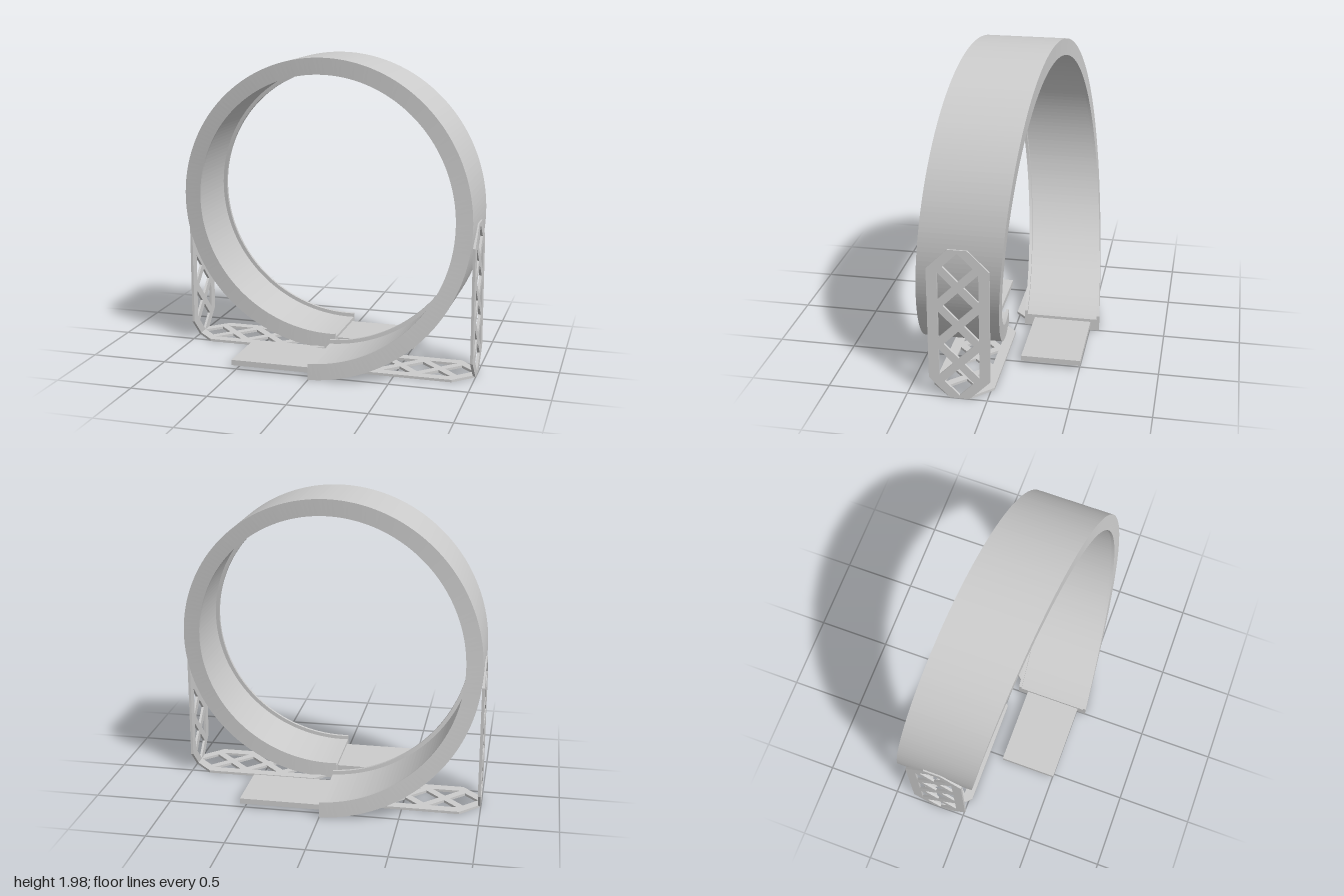
import * as THREE from 'three';

const material = new THREE.MeshStandardMaterial({ color: 0xcccccc });
const flatMaterial = new THREE.MeshStandardMaterial({ color: 0xcccccc, flatShading: true });

const CENTRE_Y = 0.99;
const START_Z = 0.31; // the track shifts from +START_Z to -START_Z over one turn

// Channel section of the track as (z, radius): a floor with two thin lips
const SECTION = [
  [-0.255, 0.885], [-0.235, 0.885], [-0.235, 0.91], [0.235, 0.91],
  [0.235, 0.885], [0.255, 0.885], [0.255, 0.99], [-0.255, 0.99],
].map(([z, r]) => new THREE.Vector2(z, r));

// One helical turn swept from the section, starting at the bottom
function trackGeometry(segments) {
  const n = SECTION.length;
  const point = (k, i) => {
    const t = k / segments;
    const a = t * Math.PI * 2;
    const p = SECTION[i % n];
    return [Math.sin(a) * p.y, CENTRE_Y - Math.cos(a) * p.y, p.x + START_Z * (1 - 2 * t)];
  };
  const positions = [];
  const triangle = (a, b, c) => positions.push(...a, ...b, ...c);
  for (let k = 0; k < segments; k++) {
    for (let i = 0; i < n; i++) {
      const a = point(k, i), b = point(k, i + 1);
      const c = point(k + 1, i + 1), d = point(k + 1, i);
      triangle(a, b, c);
      triangle(a, c, d);
    }
  }
  // End caps
  for (const [a, b, c] of THREE.ShapeUtils.triangulateShape(SECTION, [])) {
    triangle(point(0, a), point(0, c), point(0, b));
    triangle(point(segments, a), point(segments, b), point(segments, c));
  }
  const geometry = new THREE.BufferGeometry();
  geometry.setAttribute('position', new THREE.Float32BufferAttribute(positions, 3));
  geometry.computeVertexNormals();
  return geometry;
}

// Long octagonal panel with a diamond lattice, standing on y = 0 in the XY plane
function latticeGeometry() {
  const W = 0.19, H = 0.99, C = 0.13, PITCH = 0.255;
  const polygon = (Type, points) => new Type(points.map(([x, y]) => new THREE.Vector2(x, y)));
  const shape = polygon(THREE.Shape, [
    [-W + C, 0], [W - C, 0], [W, C], [W, H - C],
    [W - C, H], [-W + C, H], [-W, H - C], [-W, C],
  ]);
  // Diamonds down the middle
  for (let i = 0; i < 4; i++) {
    const y = H / 2 + (i - 1.5) * PITCH, d = 0.092;
    shape.holes.push(polygon(THREE.Path, [[d, y], [0, y + d], [-d, y], [0, y - d]]));
  }
  // Triangles along both sides
  for (let i = 0; i < 3; i++) {
    const y = H / 2 + (i - 1) * PITCH, h = 0.09;
    for (const s of [-1, 1]) {
      shape.holes.push(polygon(THREE.Path, [
        [s * 0.035, y], [s * (0.035 + h), y + h], [s * (0.035 + h), y - h],
      ]));
    }
  }
  return new THREE.ExtrudeGeometry(shape, { depth: 0.016, bevelEnabled: false });
}

function addMesh(parent, name, geometry, mat = material) {
  const mesh = new THREE.Mesh(geometry, mat);
  mesh.name = name;
  parent.add(mesh);
  return mesh;
}

export function createModel() {
  const model = new THREE.Group();
  model.name = 'loopTrack';

  addMesh(model, 'helicalTrack', trackGeometry(200), flatMaterial);

  // Supports and connecting plates, repeated by a half turn about the vertical
  const lattice = latticeGeometry();
  for (const [side, turn] of [['front', 0], ['back', Math.PI]]) {
    const half = new THREE.Group();
    half.name = side + 'Support';
    half.rotation.y = turn;

    // Upright panel beside the loop
    const upright = addMesh(half, side + 'UprightLattice', lattice);
    upright.rotation.y = Math.PI / 2;
    upright.position.set(0.984, 0, 0.17);

    // Floor panel running inward from the foot of the upright
    const floor = new THREE.Group();
    floor.name = side + 'FloorPanel';
    const panel = addMesh(floor, side + 'FloorLattice', lattice);
    panel.rotation.x = -Math.PI / 2;
    floor.rotation.y = Math.PI / 2;
    floor.position.set(1, 0, 0.17);
    half.add(floor);

    // Flat tongue at the open end of the track
    const tongue = addMesh(half, side + 'ConnectingPlate', new THREE.BoxGeometry(0.63, 0.035, 0.38));
    tongue.position.set(-0.215, 0.043, 0.315);

    model.add(half);
  }
  return model;
}
